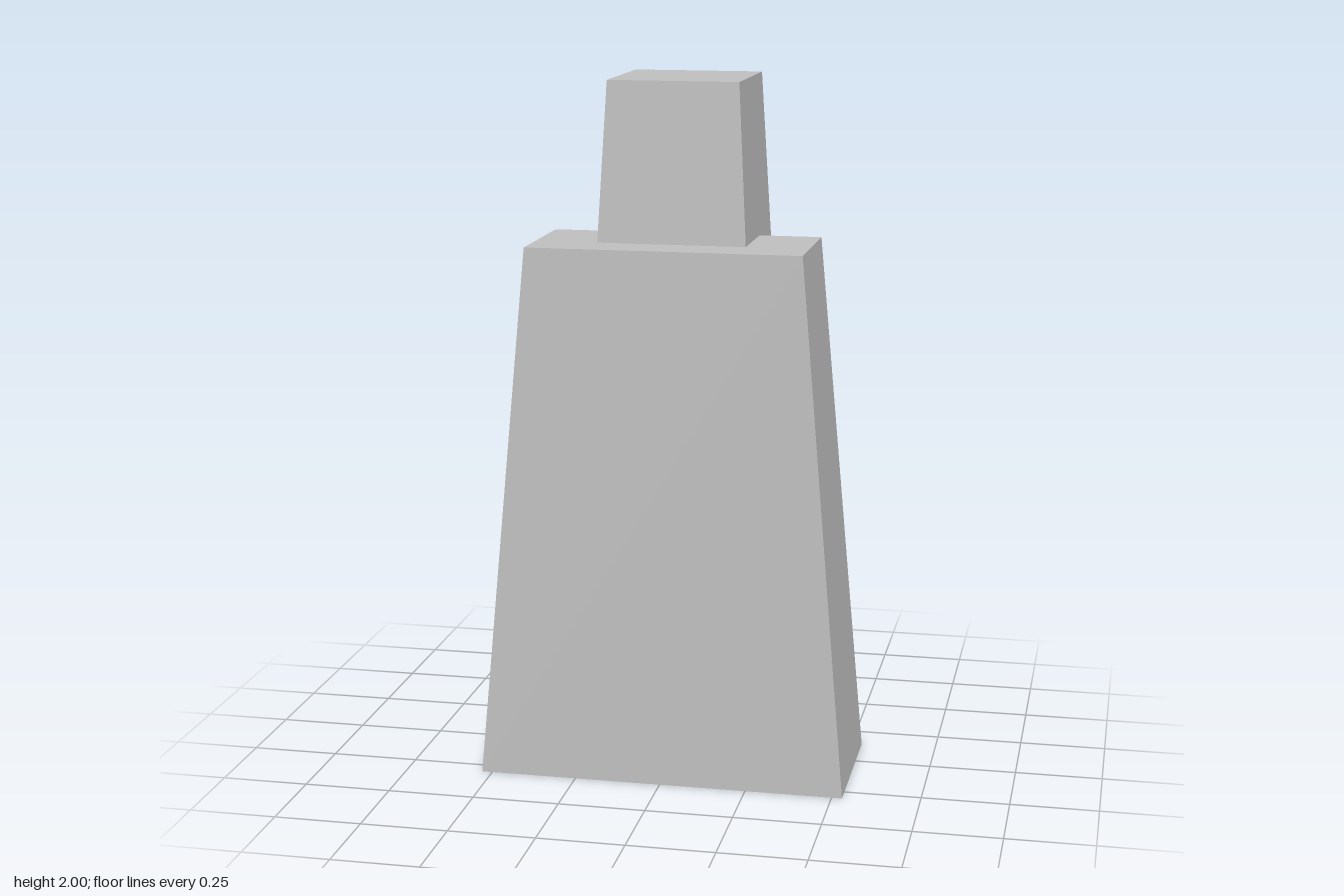
import * as THREE from 'three';

// Box between two rectangles: each end is { y, x: half width, back, front }
function taperedBox(name, bottom, top, material) {
  const geometry = new THREE.BoxGeometry(1, 1, 1);
  const pos = geometry.attributes.position;
  for (let i = 0; i < pos.count; i++) {
    const end = pos.getY(i) > 0 ? top : bottom;
    pos.setXYZ(
      i,
      Math.sign(pos.getX(i)) * end.x,
      end.y,
      pos.getZ(i) > 0 ? end.front : end.back
    );
  }
  geometry.computeVertexNormals();
  const mesh = new THREE.Mesh(geometry, material);
  mesh.name = name;
  return mesh;
}

export function createModel() {
  const model = new THREE.Group();
  model.name = 'taperedTower';

  const grey = new THREE.MeshStandardMaterial({ color: 0xc0c0c0 });
  grey.name = 'light grey';

  // Wide main body, narrowing upward
  model.add(taperedBox('body',
    { y: 0, x: 0.53, back: -0.143, front: 0.301 },
    { y: 1.545, x: 0.393, back: -0.1, front: 0.258 }, grey));

  // Head block, sunk into the body and overhanging its back
  model.add(taperedBox('head',
    { y: 1.38, x: 0.222, back: -0.303, front: 0.139 },
    { y: 2, x: 0.188, back: -0.27, front: 0.105 }, grey));

  return model;
}
